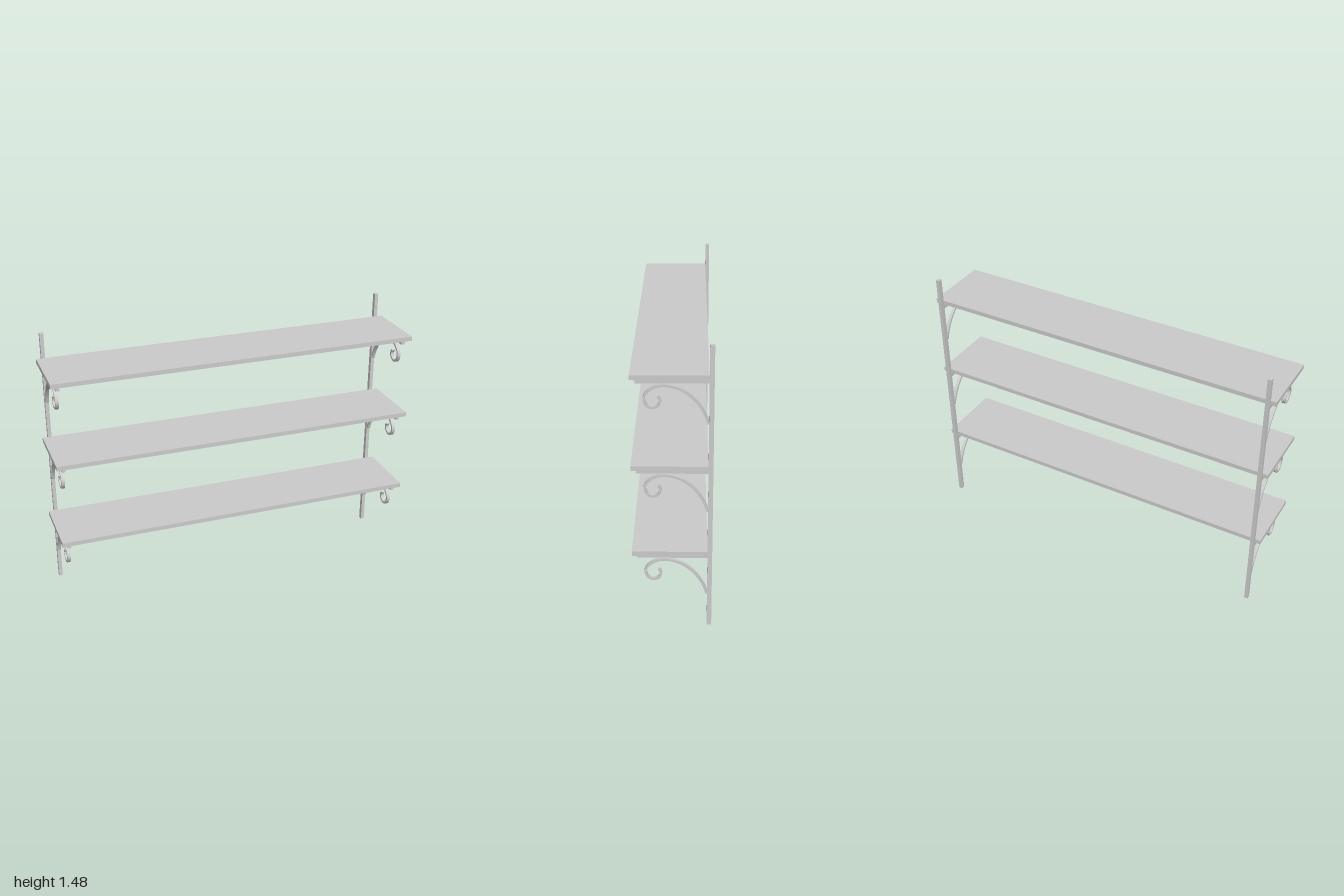
import * as THREE from 'three';

const material = new THREE.MeshStandardMaterial({ color: 0xcccccc });

function box(name, w, h, d, x, y, z) {
  const mesh = new THREE.Mesh(new THREE.BoxGeometry(w, h, d), material);
  mesh.name = name;
  mesh.position.set(x, y, z);
  return mesh;
}

// Flat bar bent into a scroll; path is (z, y) with y measured from the shelf underside
function scrollGeometry(width, thickness) {
  const path = new THREE.SplineCurve([
    [-0.169, -0.228], [-0.152, -0.179], [-0.117, -0.122], [-0.066, -0.073],
    [-0.016, -0.048], [0.039, -0.038], [0.086, -0.049], [0.121, -0.077],
    [0.131, -0.108], [0.117, -0.138], [0.09, -0.148], [0.063, -0.136],
    [0.056, -0.112], [0.066, -0.093],
  ].map(([z, y]) => new THREE.Vector2(z, y)));
  const left = [], right = [];
  const steps = 72;
  for (let i = 0; i <= steps; i++) {
    const p = path.getPointAt(i / steps);
    const t = path.getTangentAt(i / steps);
    const n = new THREE.Vector2(-t.y, t.x).multiplyScalar(thickness / 2);
    left.push(p.clone().add(n));
    right.unshift(p.clone().sub(n));
  }
  const geometry = new THREE.ExtrudeGeometry(new THREE.Shape([...left, ...right]), {
    depth: width, bevelEnabled: false,
  });
  geometry.translate(0, 0, -width / 2);
  geometry.rotateY(-Math.PI / 2);
  return geometry;
}

export function createModel() {
  const model = new THREE.Group();
  model.name = 'wallShelf';
  const postX = 0.961;
  const scroll = scrollGeometry(0.018, 0.012);

  // Upright posts at the back
  for (const side of [-1, 1]) {
    model.add(box(side > 0 ? 'leftPost' : 'rightPost', 0.02, 1.475, 0.023, side * postX, 0.7375, -0.183));
  }

  // Three tiers: board, support rails and scroll brackets
  for (const underside of [0.407, 0.862, 1.317]) {
    const tier = new THREE.Group();
    tier.name = 'shelfTier';
    tier.position.y = underside;
    tier.add(box('board', 2, 0.024, 0.367, 0, 0.012, 0.0125));
    for (const side of [-1, 1]) {
      tier.add(box('supportRail', 0.02, 0.026, 0.344, side * postX, -0.013, 0));
      const bracket = new THREE.Mesh(scroll, material);
      bracket.name = 'scrollBracket';
      bracket.position.x = side * postX;
      tier.add(bracket);
    }
    model.add(tier);
  }
  return model;
}
